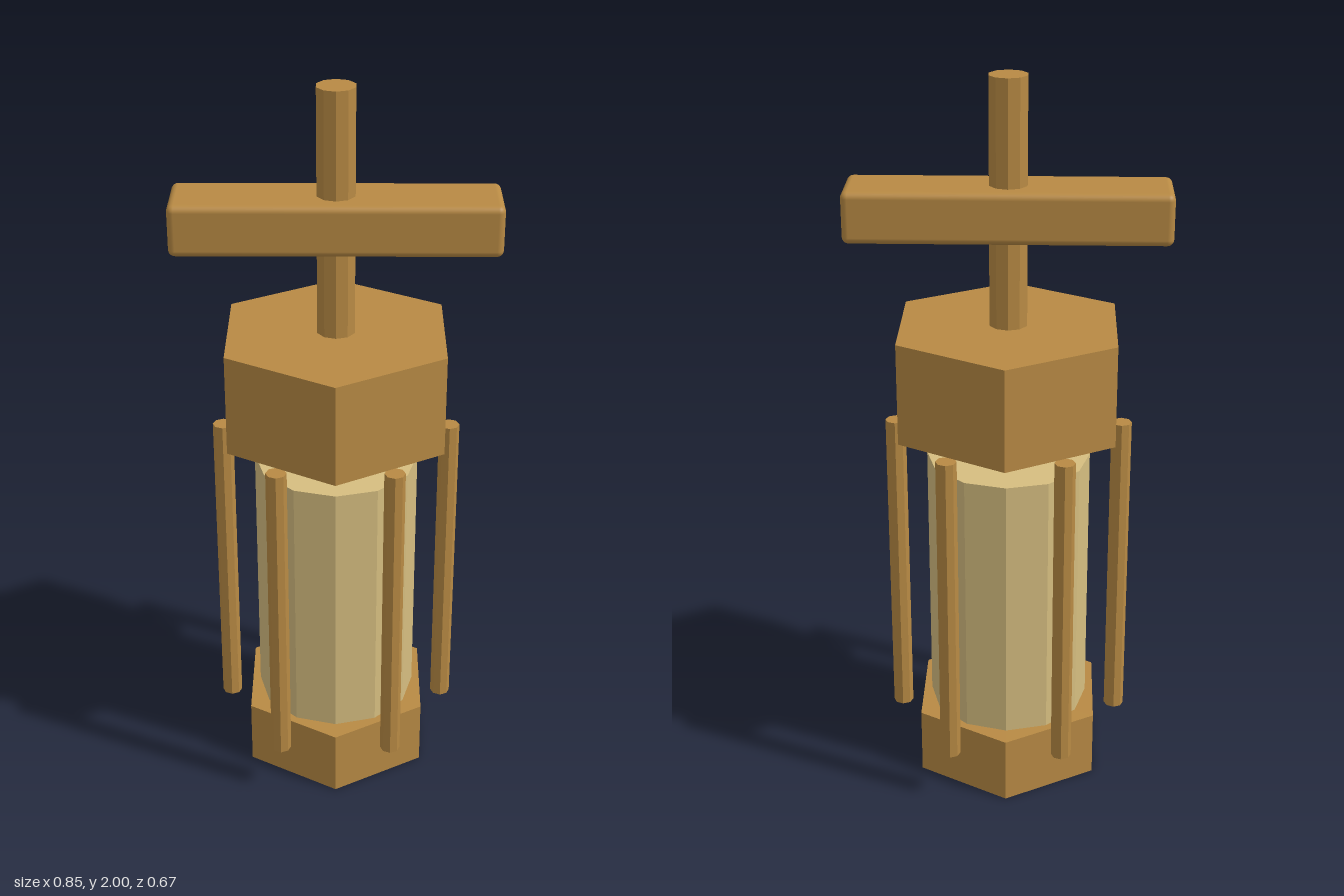
import * as THREE from 'three';
import { RoundedBoxGeometry } from 'three/addons/geometries/RoundedBoxGeometry.js';

export function createModel() {
  const model = new THREE.Group();
  model.name = 'plungerCanister';

  const brass = new THREE.MeshStandardMaterial({ color: 0xb88a44 });
  brass.name = 'brass';
  const paleGlass = new THREE.MeshStandardMaterial({ color: 0xd6be80 });
  paleGlass.name = 'paleGlass';

  // Faceted upright prism spanning y0..y1
  function prism(name, radius, sides, y0, y1, material, x = 0, z = 0) {
    const geometry = new THREE.CylinderGeometry(radius, radius, y1 - y0, sides).toNonIndexed();
    geometry.computeVertexNormals(); // flat facets
    const mesh = new THREE.Mesh(geometry, material);
    mesh.name = name;
    mesh.position.set(x, (y0 + y1) / 2, z);
    model.add(mesh);
  }

  // Hexagonal base and cap with the glass body between them
  prism('base', 0.285, 6, 0, 0.19, brass);
  prism('glassBody', 0.225, 12, 0.19, 0.953, paleGlass);
  prism('cap', 0.333, 6, 1.05, 1.333, brass);

  // Ring of six guard rods hanging from the cap
  for (let i = 0; i < 6; i++) {
    const a = Math.PI / 6 + (i * Math.PI) / 3;
    prism('guardRod' + (i + 1), 0.028, 8, 0.145, 1.05, brass, 0.31 * Math.sin(a), 0.31 * Math.cos(a));
  }

  // Plunger shaft and cross handle
  prism('shaft', 0.0525, 10, 1.333, 2, brass);
  const handle = new THREE.Mesh(new RoundedBoxGeometry(0.854, 0.138, 0.188, 3, 0.018), brass);
  handle.name = 'crossHandle';
  handle.position.y = 1.647;
  model.add(handle);

  return model;
}
